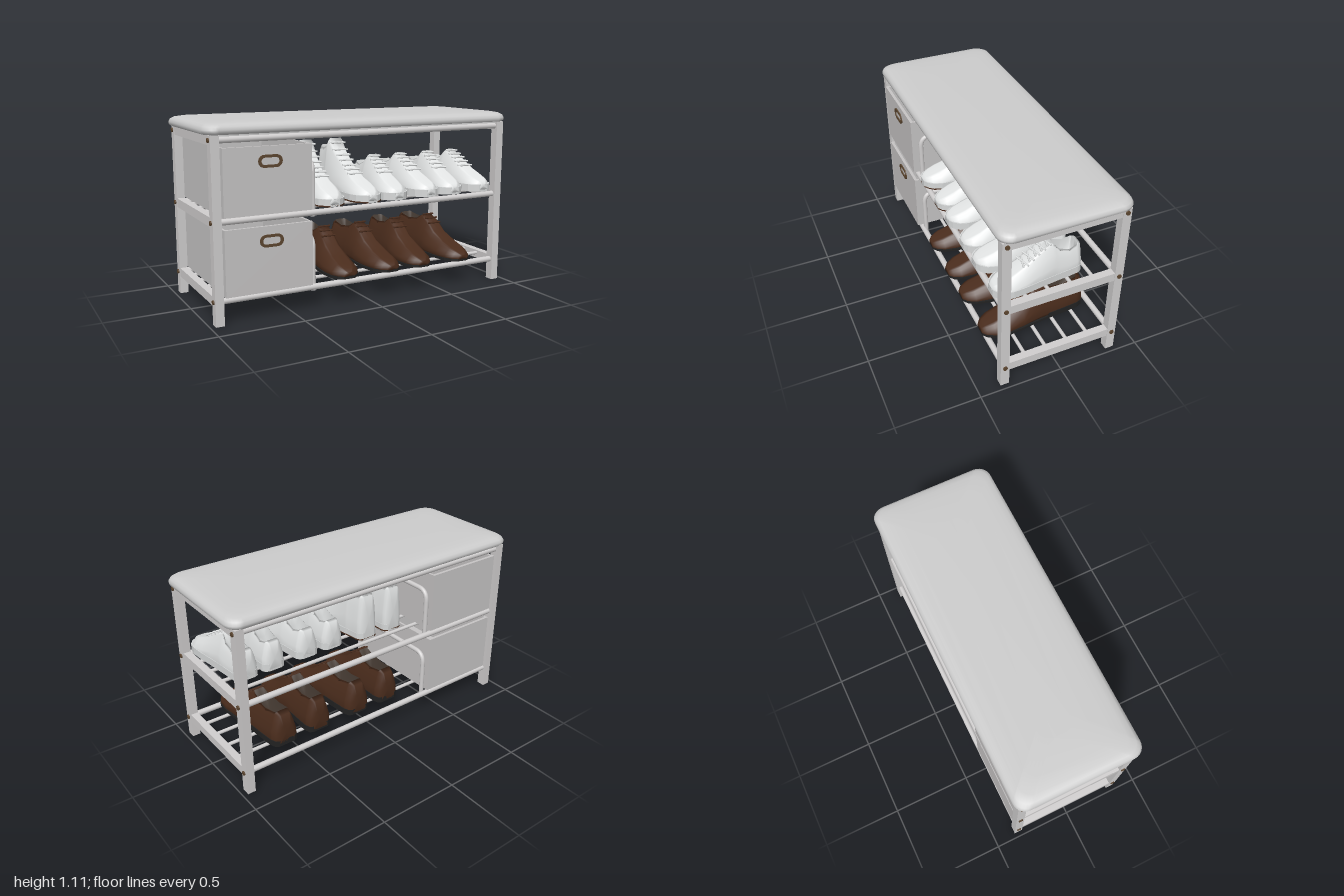
import * as THREE from 'three';

const mat = (name, color) => Object.assign(new THREE.MeshStandardMaterial({ color }), { name });

export function createModel() {
  const frameMat = mat('painted metal', 0xd0cece);
  const seatMat = mat('seat fabric', 0xcccccc);
  const boxMat = mat('box fabric', 0xc6c4c4);
  const bronze = mat('bronze', 0x5c4630);
  const white = mat('white leather', 0xe2e4e4);
  const whiteSole = mat('white rubber', 0xd6d8d8);
  const brown = mat('brown leather', 0x4a2c1c);
  const black = mat('black rubber', 0x222222);
  const lining = mat('shoe lining', 0x453a32);

  const root = new THREE.Group();
  root.name = 'shoeBench';

  const add = (parent, name, geo, material, x = 0, y = 0, z = 0) => {
    const m = new THREE.Mesh(geo, material);
    m.name = name;
    m.position.set(x, y, z);
    parent.add(m);
    return m;
  };
  const group = (name, parent = root) => {
    const g = new THREE.Group();
    g.name = name;
    parent.add(g);
    return g;
  };
  const box = (parent, name, material, w, h, d, x, y, z) =>
    add(parent, name, new THREE.BoxGeometry(w, h, d), material, x, y, z);

  // Skin closed rings of points; both ends closed to their centre
  const loft = (rings, isSecond = () => false) => {
    const centre = r => {
      const c = r.reduce((s, p) => s.add(p), new THREE.Vector3()).divideScalar(r.length);
      return r.map(() => c);
    };
    const all = [centre(rings[0]), ...rings, centre(rings[rings.length - 1])];
    const n = rings[0].length, first = [], second = [];
    for (let i = 0; i < all.length - 1; i++) {
      for (let j = 0; j < n; j++) {
        const k = (j + 1) % n;
        const a = i * n + j, b = i * n + k, c = a - j + n + k, d = a + n;
        (isSecond(i - 1, j) ? second : first).push(a, b, d, b, c, d);
      }
    }
    const g = new THREE.BufferGeometry().setFromPoints(all.flat());
    g.setIndex([...first, ...second]);
    g.addGroup(0, first.length, 0);
    g.addGroup(first.length, second.length, 1);
    g.computeVertexNormals();
    return g;
  };

  // Padded seat: rounded rectangles stacked into a soft dome
  const seatRing = (inset, y) => {
    const pts = [], r = 0.075, hx = 1 - inset - r, hz = 0.382 - inset - r;
    for (let q = 0; q < 4; q++) {
      const sx = q === 0 || q === 3 ? 1 : -1, sz = q < 2 ? -1 : 1;
      for (let s = 0; s <= 6; s++) {
        const a = (q + s / 6) * Math.PI / 2;
        pts.push(new THREE.Vector3(sx * hx + r * Math.cos(a), y, sz * hz - r * Math.sin(a)));
      }
    }
    return pts;
  };
  const seatProfile = [[0.03, 1.04], [0.012, 1.041], [0.002, 1.05], [0, 1.066], [0.008, 1.083],
    [0.025, 1.095], [0.06, 1.102], [0.13, 1.107], [0.28, 1.11]];
  add(root, 'seatCushion', loft(seatProfile.map(p => seatRing(...p))), [seatMat, seatMat]);
  box(root, 'seatBoard', seatMat, 1.9, 0.012, 0.7, 0, 1.037, 0);

  // Frame: legs, side rails, bolts
  const frame = group('frame');
  const levels = [0.135, 0.573, 1.013];
  for (const sx of [-1, 1]) {
    for (const sz of [-1, 1]) {
      box(frame, 'leg', frameMat, 0.05, 1.04, 0.053, sx * 0.945, 0.52, sz * 0.34);
      for (const y of levels) {
        const bolt = add(frame, 'bolt', new THREE.CylinderGeometry(0.013, 0.013, 0.012, 12), bronze,
          sx * 0.972, y, sz * 0.34);
        bolt.rotation.z = Math.PI / 2;
      }
    }
    for (const y of levels) box(frame, 'sideRail', frameMat, 0.045, 0.053, 0.63, sx * 0.945, y, 0);
  }

  // Long tubes and shelf rods
  const longTube = (name, r, y, z) => {
    add(frame, name, new THREE.CylinderGeometry(r, r, 1.85, 16), frameMat, 0, y, z).rotation.z = Math.PI / 2;
  };
  levels.forEach((y, i) => {
    for (const z of [-0.34, 0.34]) longTube('longRail', 0.018, y, z);
    if (i < 2) for (const z of [-0.2, -0.067, 0.067, 0.2]) longTube('shelfRod', 0.011, y + 0.008, z);
  });

  // Bent tube divider, fabric box and handle ring on each shelf
  const V = (y, z) => new THREE.Vector3(0, y, z);
  const stadium = (Target, w, h) => {
    const s = new Target(), c = (w - h) / 2;
    s.absarc(c, 0, h / 2, -Math.PI / 2, Math.PI / 2, false);
    s.absarc(-c, 0, h / 2, Math.PI / 2, Math.PI * 1.5, false);
    s.closePath();
    return s;
  };
  for (const y of [0, 0.44]) {
    const path = new THREE.CurvePath();
    path.add(new THREE.LineCurve3(V(0.11, 0.325), V(0.36, 0.325)));
    path.add(new THREE.QuadraticBezierCurve3(V(0.36, 0.325), V(0.428, 0.325), V(0.428, 0.257)));
    path.add(new THREE.LineCurve3(V(0.428, 0.257), V(0.428, -0.257)));
    path.add(new THREE.QuadraticBezierCurve3(V(0.428, -0.257), V(0.428, -0.325), V(0.36, -0.325)));
    path.add(new THREE.LineCurve3(V(0.36, -0.325), V(0.11, -0.325)));
    add(frame, 'divider', new THREE.TubeGeometry(path, 80, 0.015, 10), frameMat, -0.365, y, 0);

    const b = group('storageBox');
    b.position.set(-0.65, y + 0.158, 0.01);
    box(b, 'boxFloor', boxMat, 0.52, 0.012, 0.72, 0, 0.006, 0);
    for (const s of [-1, 1]) {
      box(b, 'boxSide', boxMat, 0.014, 0.372, 0.72, s * 0.253, 0.187, 0);
      box(b, 'boxEnd', boxMat, 0.52, 0.374, 0.018, 0, 0.187, s * 0.356);
    }
    const ring = stadium(THREE.Shape, 0.14, 0.07);
    ring.holes.push(stadium(THREE.Path, 0.106, 0.04));
    add(b, 'boxHandle', new THREE.ExtrudeGeometry(ring, { depth: 0.008, bevelEnabled: false, curveSegments: 10 }),
      bronze, 0.01, 0.292, 0.364);
  }

  // Shoe stations, heel to toe: z, half width, height, top width ratio, opening depth ratio
  const dress = [[-0.285, 0.05, 0.13, 0.6], [-0.275, 0.07, 0.195, 0.55], [-0.245, 0.08, 0.212, 0.55],
    [-0.235, 0.082, 0.21, 0.6, 0.6], [-0.15, 0.085, 0.197, 0.65, 0.6], [-0.06, 0.086, 0.21, 0.6, 0.6],
    [-0.045, 0.087, 0.222, 0.5, 0.4], [-0.01, 0.088, 0.238, 0.45], [0.05, 0.092, 0.205, 0.5],
    [0.12, 0.1, 0.145, 0.5], [0.22, 0.103, 0.1, 0.55], [0.3, 0.09, 0.075, 0.6], [0.345, 0.065, 0.058, 0.6],
    [0.368, 0.035, 0.042, 0.6]];
  const low = [[-0.165, 0.04, 0.12, 0.65], [-0.155, 0.06, 0.17, 0.6], [-0.137, 0.07, 0.178, 0.6],
    [-0.127, 0.072, 0.175, 0.65, 0.6], [-0.08, 0.075, 0.165, 0.7, 0.6], [-0.02, 0.077, 0.19, 0.65, 0.6],
    [0, 0.078, 0.215, 0.55, 0.4], [0.02, 0.079, 0.232, 0.5], [0.1, 0.084, 0.19, 0.5], [0.2, 0.092, 0.128, 0.55],
    [0.27, 0.093, 0.098, 0.6], [0.32, 0.082, 0.08, 0.6], [0.352, 0.056, 0.065, 0.6], [0.368, 0.03, 0.05, 0.6]];
  const high = [[-0.197, 0.04, 0.2, 0.7], [-0.187, 0.06, 0.275, 0.7], [-0.172, 0.066, 0.287, 0.7],
    [-0.162, 0.068, 0.285, 0.75, 0.5], [-0.13, 0.07, 0.282, 0.75, 0.5], [-0.09, 0.073, 0.295, 0.75, 0.5],
    [-0.08, 0.075, 0.32, 0.7, 0.4], [-0.065, 0.077, 0.334, 0.7], [0, 0.08, 0.262, 0.6], [0.1, 0.085, 0.185, 0.5],
    [0.2, 0.094, 0.125, 0.55], [0.27, 0.095, 0.098, 0.6], [0.32, 0.082, 0.08, 0.6], [0.352, 0.056, 0.064, 0.6],
    [0.368, 0.03, 0.05, 0.6]];

  const shoeRing = ([z, w, h, t, dip = -0.03], bend) => {
    const right = [[0, 0], [0.9, 0], [1, 0.12], [0.97, 0.4], [(t + 0.95) / 2, 0.72], [t, 0.94],
      [t * 0.85, 1], [t * 0.7, 1 - dip], [0, 1 - dip]];
    const left = right.slice(1, 8).reverse().map(([u, v]) => [-u, v]);
    return [...right, ...left].map(([u, v]) => new THREE.Vector3(u * w + bend * z, 0.012 + v * (h - 0.012), z));
  };
  // Flat slab following the shoe outline between two z limits
  const slab = (stations, bend, grow, thick, z0 = -1, z1 = 1) => {
    const s = stations.filter(p => p[0] >= z0 && p[0] <= z1);
    const side = k => s.map(([z, w]) => new THREE.Vector2(k * w * grow + bend * z, z));
    const shape = new THREE.Shape([...side(1), ...side(-1).reverse()]);
    return new THREE.ExtrudeGeometry(shape, { depth: thick, bevelEnabled: false })
      .rotateX(Math.PI / 2).translate(0, thick, 0);
  };

  const shoe = (name, stations, x, y, side, o) => {
    const g = group(name);
    g.position.set(x, y, 0);
    const bend = side * 0.05;
    const open = i => stations[i] && stations[i][4] > 0;
    const isLining = (i, j) => j >= 6 && j <= 9 && (open(i) || open(i + 1));
    add(g, 'upper', loft(stations.map(s => shoeRing(s, bend)), isLining), [o.upper, o.inside]);
    add(g, 'sole', slab(stations, bend, 1.03, o.soleHeight), o.sole);
    if (o.heel) add(g, 'heel', slab(stations, bend, 1.04, 0.038, -1, -0.04), o.sole);
    if (o.outsole) add(g, 'outsole', slab(stations, bend, 1.04, 0.008), o.outsole);
    // Crossed laces down the instep
    const [z0, z1, count] = o.laces;
    for (let n = 0; n < count; n++) {
      const z = z0 + (z1 - z0) * n / (count - 1);
      const k = stations.findIndex(s => s[0] > z), a = stations[k - 1], b = stations[k];
      const [, w, h, t] = a.map((v, q) => v + (b[q] - v) * (z - a[0]) / (b[0] - a[0]));
      for (const s of o.heel ? [0] : [-1, 1]) {
        const lace = add(g, 'lace', new THREE.CylinderGeometry(0.006, 0.006, w * t * 2, 6), o.lace,
          bend * z, h * 1.03 + 0.002, z);
        lace.rotation.set(0, s * 0.3, Math.PI / 2);
      }
    }
  };

  // Brown dress shoes on the lower shelf
  [-0.13, 0.13, 0.395, 0.66].forEach((x, i) => shoe('dressShoe', dress, x, 0.158, i % 2 ? 1 : -1,
    { upper: brown, inside: lining, sole: black, soleHeight: 0.016, heel: true, lace: brown, laces: [0, 0.07, 3] }));

  // White high and low trainers on the upper shelf
  const trainer = { upper: white, inside: whiteSole, sole: whiteSole, soleHeight: 0.045, lace: white };
  [-0.225, -0.01].forEach((x, i) => shoe('highTrainer', high, x, 0.599, i ? 1 : -1,
    { ...trainer, outsole: brown, laces: [-0.04, 0.17, 7] }));
  [0.21, 0.405, 0.62, 0.81].forEach((x, i) => shoe('lowTrainer', low, x, 0.599, i % 2 ? 1 : -1,
    { ...trainer, laces: [0.04, 0.18, 5] }));

  return root;
}
